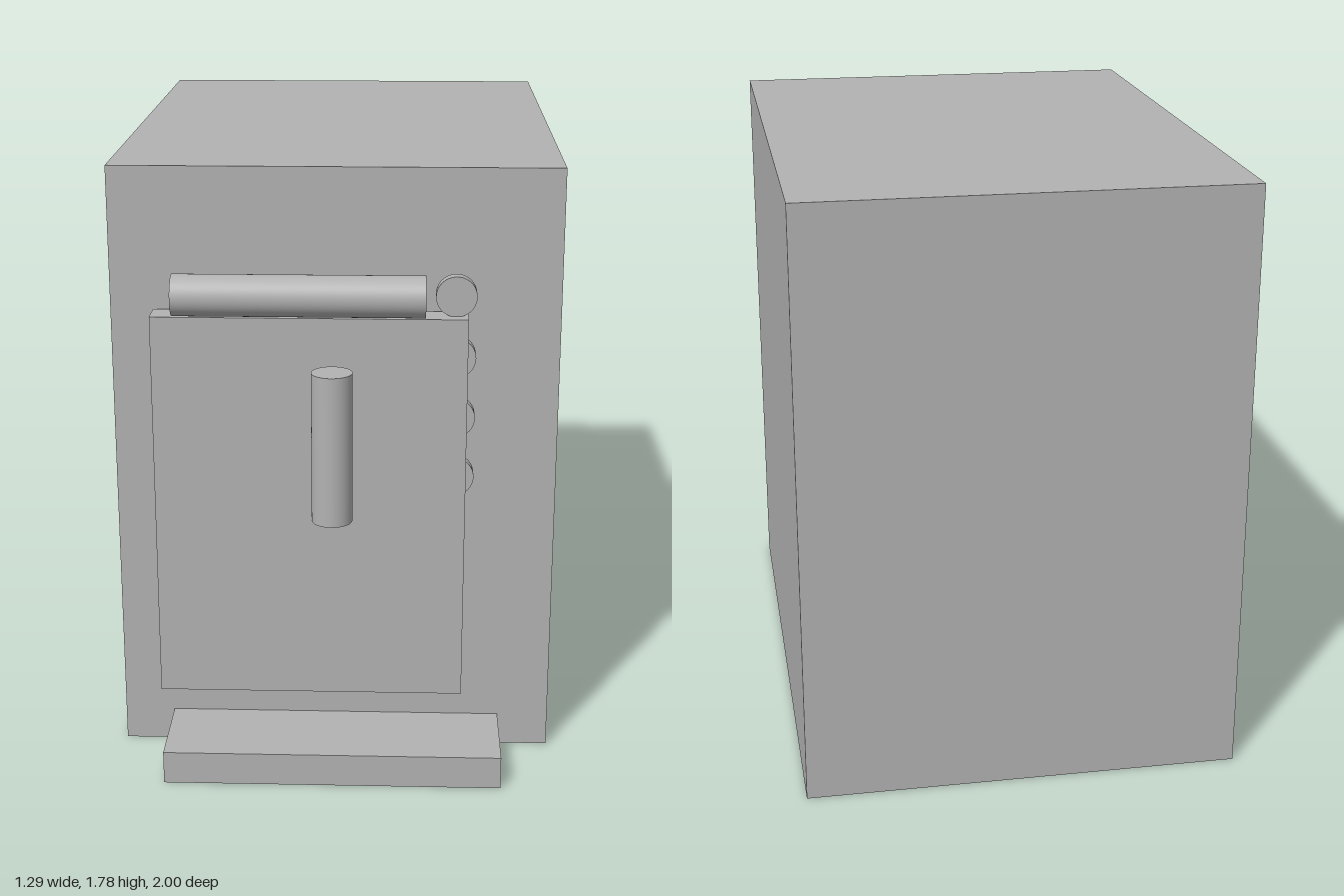
import * as THREE from 'three';

export function createModel() {
  const model = new THREE.Group();
  model.name = 'cabinetOven';
  const grey = new THREE.MeshStandardMaterial({ color: 0xb2b2b2 });
  grey.name = 'light grey';

  const add = (name, geometry, x, y, z) => {
    const mesh = new THREE.Mesh(geometry, grey);
    mesh.name = name;
    mesh.position.set(x, y, z);
    model.add(mesh);
    return mesh;
  };

  // Box given by its lower and upper corners
  const box = (name, [x0, y0, z0], [x1, y1, z1]) =>
    add(name, new THREE.BoxGeometry(x1 - x0, y1 - y0, z1 - z0),
      (x0 + x1) / 2, (y0 + y1) / 2, (z0 + z1) / 2);

  const RADIUS = 0.058;
  const rod = (name, length, x, y, z) =>
    add(name, new THREE.CylinderGeometry(RADIUS, RADIUS, length, 48), x, y, z);

  // Cabinet, front step and door
  box('body', [-0.643, 0, -1], [0.643, 1.78, 0.727]);
  box('frontStep', [-0.495, 0, 0.727], [0.492, 0.098, 1]);
  box('door', [-0.519, 0.215, 0.739], [0.377, 1.37, 0.826]);

  // Horizontal bar above the door and upright handle on it
  rod('topBar', 0.695, -0.092, 1.461, 0.926).rotation.z = Math.PI / 2;
  rod('doorHandle', 0.44, -0.003, 1.016, 0.902);

  // Column of round knobs along the door edge
  for (let i = 0; i < 4; i++) {
    rod('knob' + (i + 1), 0.036, 0.343, 1.426 - i * 0.1785, 0.772).rotation.x = Math.PI / 2;
  }

  return model;
}
